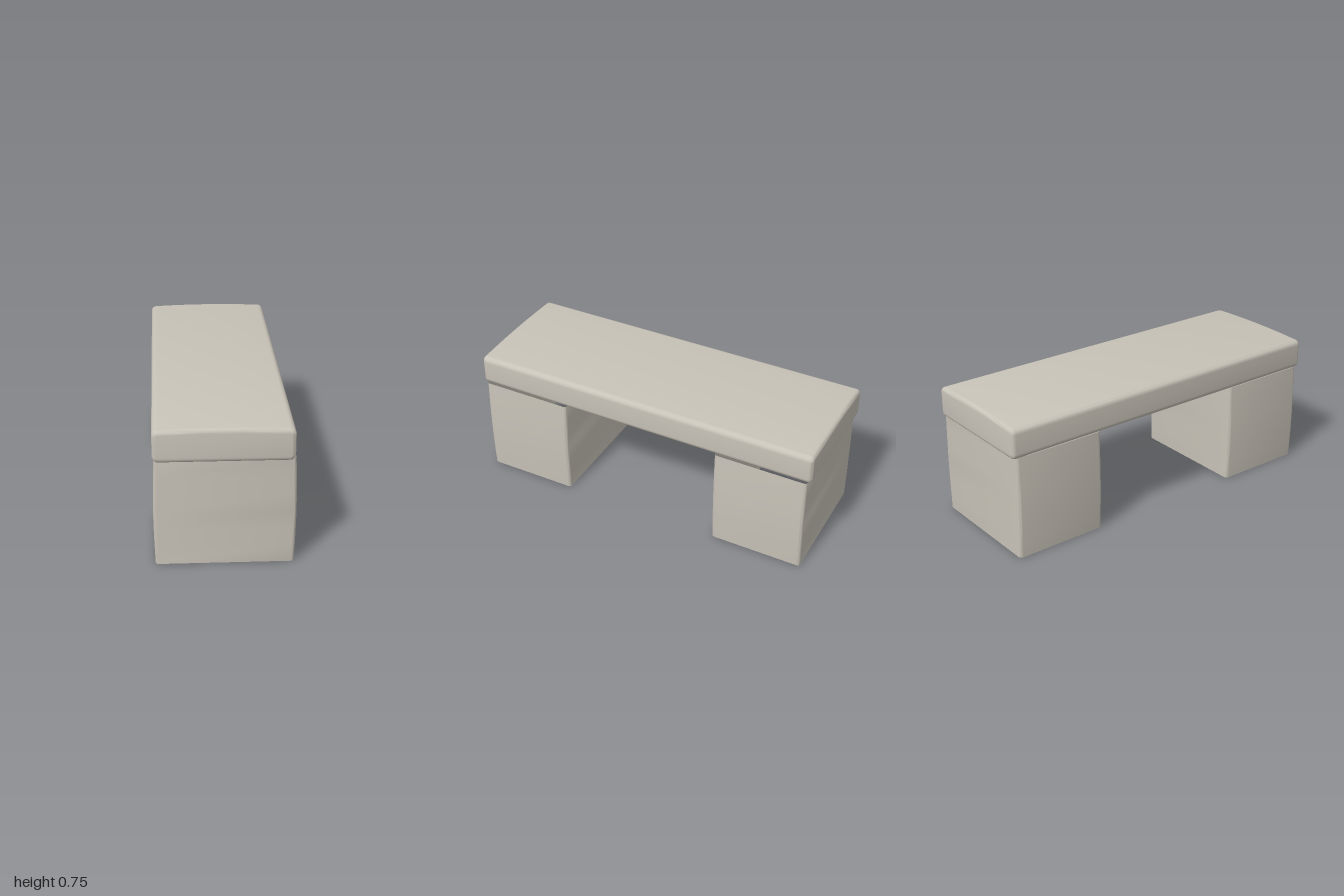
import * as THREE from 'three';
import { toCreasedNormals } from 'three/addons/utils/BufferGeometryUtils.js';

const stone = new THREE.MeshStandardMaterial({ color: 0xc8c3b8, side: THREE.DoubleSide });
stone.name = 'pale stone';

// Seat slab: softly crowned, rounded profile swept along z with rounded ends
function seatGeometry() {
  const bevel = 0.022, x0 = -0.357 + bevel, x1 = 0.346 - bevel, y0 = 0.572 + bevel, y1 = 0.741 - bevel;
  const s = new THREE.Shape();
  s.moveTo(x0, y0 + 0.01);
  s.quadraticCurveTo(x0, y0, x0 + 0.01, y0);
  s.lineTo(x1 - 0.01, y0);
  s.quadraticCurveTo(x1, y0, x1, y0 + 0.01);
  s.lineTo(x1, y1 - 0.01);
  s.quadraticCurveTo(x1, y1, x1 - 0.01, y1);
  s.quadraticCurveTo(0, y1 + 0.016, x0 + 0.01, y1);
  s.quadraticCurveTo(x0, y1, x0, y1 - 0.01);
  const depth = 2 - 2 * bevel;
  const g = new THREE.ExtrudeGeometry(s, {
    depth, curveSegments: 6, bevelEnabled: true, bevelSize: bevel, bevelThickness: bevel, bevelSegments: 4,
  });
  g.translate(0, 0, -depth / 2);
  return toCreasedNormals(g, 0.8);
}

// Hollow leg: rounded rectangular shell, open below, bulging a little at mid height
function legGeometry() {
  const halfX = 0.35, halfZ = 0.262, r = 0.018, rows = 6, y0 = 0.004, y1 = 0.576;
  const ring = [];
  for (let c = 0; c < 4; c++) {
    const sx = c === 0 || c === 3 ? 1 : -1, sz = c < 2 ? 1 : -1;
    for (let k = 0; k <= 4; k++) {
      const a = (c + k / 4) * Math.PI / 2;
      ring.push([sx * (halfX - r) + r * Math.cos(a), sz * (halfZ - r) + r * Math.sin(a)]);
    }
  }
  const n = ring.length, pos = [], idx = [];
  for (let j = 0; j <= rows; j++) {
    const t = j / rows, bulge = 1 + 0.022 * Math.sin(Math.PI * t);
    for (const [x, z] of ring) pos.push(x * bulge + 0.001, y0 + (y1 - y0) * t, z);
  }
  for (let j = 0; j < rows; j++) {
    for (let i = 0; i < n; i++) {
      const a = j * n + i, b = j * n + (i + 1) % n;
      idx.push(a, a + n, b, b, a + n, b + n);
    }
  }
  const g = new THREE.BufferGeometry();
  g.setAttribute('position', new THREE.Float32BufferAttribute(pos, 3));
  g.setIndex(idx);
  return toCreasedNormals(g, 0.8);
}

export function createModel() {
  const bench = new THREE.Group();
  bench.name = 'bench';

  const seat = new THREE.Mesh(seatGeometry(), stone);
  seat.name = 'seat';
  bench.add(seat);

  // Matching legs under both ends
  const legShape = legGeometry();
  for (const [name, side] of [['frontLeg', 1], ['backLeg', -1]]) {
    const leg = new THREE.Mesh(legShape, stone);
    leg.name = name;
    leg.position.z = side * 0.717;
    bench.add(leg);
  }
  return bench;
}
